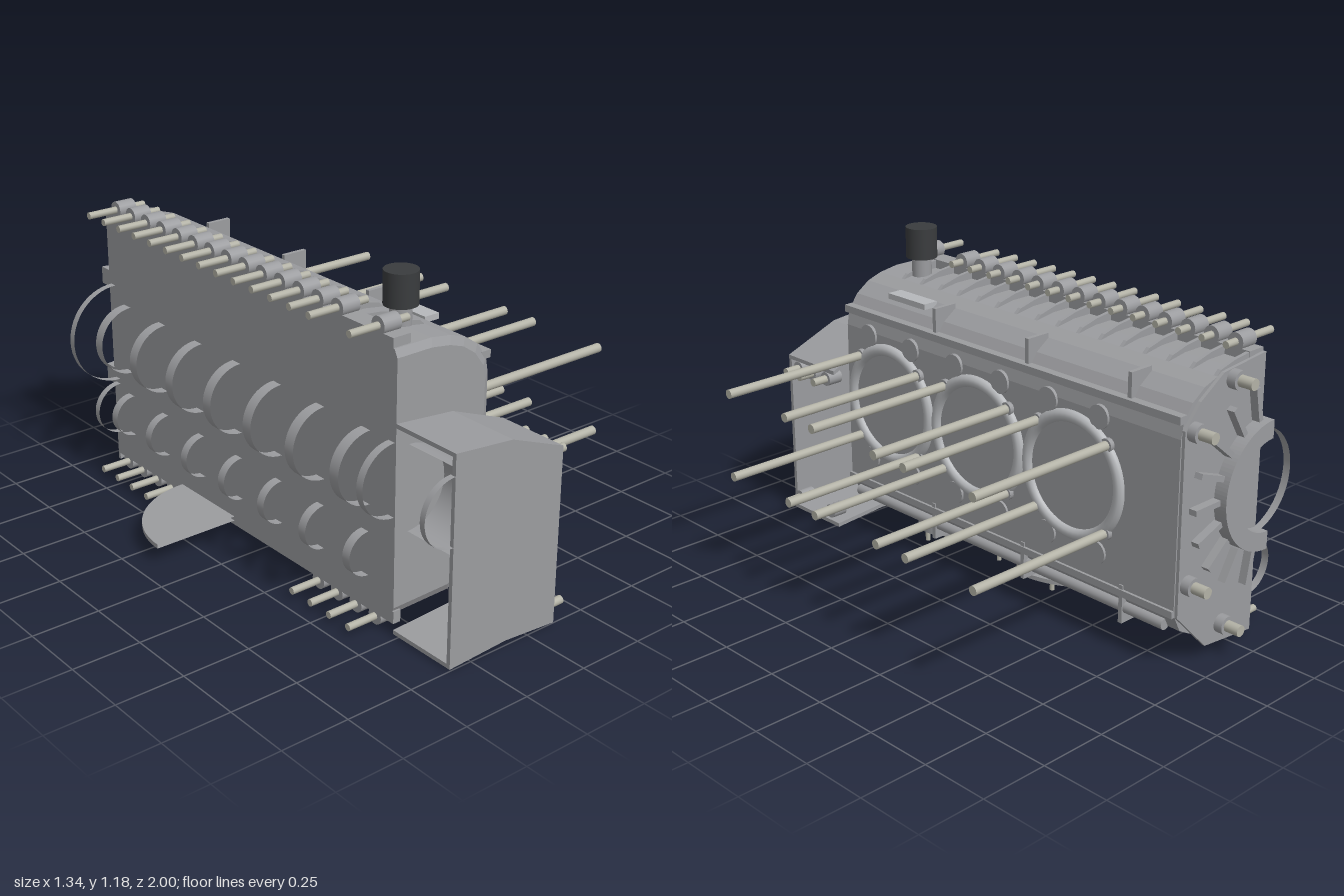
import * as THREE from 'three';

const GREY = 0x9b9c9f;
const grey = new THREE.MeshStandardMaterial({ color: GREY });
const flat = new THREE.MeshStandardMaterial({ color: GREY, flatShading: true });
const thin = new THREE.MeshStandardMaterial({ color: GREY, side: THREE.DoubleSide });
const light = new THREE.MeshStandardMaterial({ color: 0xb6b8bb });
const steel = new THREE.MeshStandardMaterial({ color: 0xb3b2a6 });
const black = new THREE.MeshStandardMaterial({ color: 0x3a3c3e });

const SPLIT = -0.34;   // parting plane
const CRANK_Y = 0.56;
const BORE_Y = 0.563;
const BORES = [0.475, 0.015, -0.445];

export function createModel() {
  const model = new THREE.Group();

  const add = (name, geometry, material = grey, x = 0, y = 0, z = 0) => {
    const mesh = new THREE.Mesh(geometry, material);
    mesh.name = name;
    mesh.position.set(x, y, z);
    model.add(mesh);
    return mesh;
  };
  const box = (name, x0, x1, y0, y1, z0, z1, material = grey) =>
    add(name, new THREE.BoxGeometry(x1 - x0, y1 - y0, z1 - z0), material,
      (x0 + x1) / 2, (y0 + y1) / 2, (z0 + z1) / 2);
  // Round bar along one axis, from a to b
  const bar = (name, axis, r, a, b, u, v, material = grey, sides = 20) => {
    const g = new THREE.CylinderGeometry(r, r, b - a, sides);
    const m = (a + b) / 2;
    if (axis === 'x') { g.rotateZ(Math.PI / 2); return add(name, g, material, m, u, v); }
    if (axis === 'z') { g.rotateX(Math.PI / 2); return add(name, g, material, u, v, m); }
    return add(name, g, material, u, m, v);
  };
  // Outline drawn along z, its front end optionally shrunk for a chamfer
  const prism = (name, points, z0, z1, frontScale = 1) => {
    const shape = new THREE.Shape(points.map(([x, y]) => new THREE.Vector2(x, y)));
    const g = new THREE.ExtrudeGeometry(shape, { depth: z1 - z0, bevelEnabled: false });
    const p = g.attributes.position;
    for (let i = 0; i < p.count; i++) {
      if (p.getZ(i) > 1e-4) {
        p.setX(i, SPLIT + (p.getX(i) - SPLIT) * frontScale);
        p.setY(i, 0.55 + (p.getY(i) - 0.55) * frontScale);
      }
    }
    g.computeVertexNormals();
    return add(name, g, flat, 0, 0, z0);
  };
  // Open half band standing out of the parting plane (side -1) or into it (+1)
  const halfBand = (name, r, z0, z1, y, side = -1) => {
    const g = new THREE.CylinderGeometry(r, r, z1 - z0, 28, 1, true, side < 0 ? Math.PI : 0, Math.PI);
    g.rotateX(Math.PI / 2);
    add(name, g, thin, SPLIT, y, (z0 + z1) / 2);
  };

  // Crankcase body with a chamfered front end and a rear plate
  const outline = [
    [SPLIT, 0.075], [-0.09, 0.08], [0.02, 0.14], [0.055, 0.21], [0.055, 0.82], [0.045, 0.875],
    [0.005, 0.93], [-0.05, 0.968], [-0.11, 0.988], [-0.19, 1.0], [SPLIT, 1.0],
  ];
  prism('crankcase', outline, -0.9, 0.716);
  prism('crankcaseFront', outline, 0.716, 0.73, 0.94);
  prism('rearPlate', [
    [SPLIT, 0.02], [-0.1, 0.045], [0.05, 0.2], [0.05, 0.85], [-0.02, 0.93], [-0.13, 1], [SPLIT, 1.02],
  ], -0.912, -0.9);

  // Parting flanges
  box('topFlange', SPLIT, -0.27, 0.99, 1.033, -0.9, 0.71);
  box('bottomFlange', SPLIT, -0.31, 0.045, 0.09, -0.9, 0.73);

  // Flange bolts and the ribs running over the shoulder between them
  for (let i = 0; i < 16; i++) {
    const z = 0.638 - i * 0.0986;
    const heights = [];
    if (i !== 1) heights.push(1.052);
    if (i < 4 || i > 11) heights.push(0.033);
    for (const y of heights) {
      bar('flangeLug', 'x', 0.031, SPLIT, -0.27, y, z);
      bar('flangeStud', 'x', 0.013, -0.455, -0.22, y, z, steel, 12);
    }
    prism('shoulderRib', [
      [-0.3, 0.98], [-0.09, 0.97], [-0.13, 1.005], [-0.2, 1.022], [-0.3, 1.033],
    ], z - 0.057, z - 0.043);
  }

  // Lengthwise ledges and oil rail on the cylinder side
  box('upperLedge', 0.02, 0.062, 0.87, 0.897, -0.9, 0.72);
  box('lowerLedge', 0.02, 0.065, 0.2, 0.225, -0.9, 0.72);
  bar('oilRail', 'z', 0.021, -0.85, 0.69, 0.035, 0.153);

  // Cross ribs between the cylinders
  for (const z of [0.245, -0.215, -0.675]) {
    box('lowerCrossRib', -0.02, 0.06, 0.1, 0.24, z - 0.008, z + 0.008);
    box('upperCrossRib', -0.05, 0.045, 0.88, 0.985, z - 0.008, z + 0.008);
  }

  // Cylinder seats with their pads and long studs
  for (const z of BORES) {
    add('boreRing', new THREE.TorusGeometry(0.209, 0.023, 12, 56).rotateY(Math.PI / 2), light, 0.053, BORE_Y, z);
    bar('boreFace', 'x', 0.2, 0.04, 0.058, BORE_Y, z, grey, 48);
    for (const dy of [-1, 1]) for (const dz of [-1, 1]) {
      bar('seatPad', 'x', 0.042, 0.03, 0.064, BORE_Y + dy * 0.242, z + dz * 0.115);
      bar('studBoss', 'x', 0.024, 0.04, 0.072, BORE_Y + dy * 0.157, z + dz * 0.158);
      bar('cylinderStud', 'x', 0.0165, 0.05, 0.665, BORE_Y + dy * 0.157, z + dz * 0.158, steel);
    }
  }

  // Crankshaft and camshaft bearing bands
  for (let i = 0; i < 7; i++) {
    const z = 0.585 - i * 0.23;
    halfBand('mainBearing', 0.13, z - 0.022, z + 0.022, CRANK_Y);
    halfBand('camBearing', 0.08, z - 0.018, z + 0.018, 0.25);
  }
  halfBand('frontMainBearing', 0.13, 0.695, 0.725, CRANK_Y);
  halfBand('rearMainBearing', 0.19, -0.9, -0.872, CRANK_Y);
  halfBand('rearCamBearing', 0.1, -0.9, -0.872, 0.25);

  // Rear seal housing, radial ribs and studs
  const seal = new THREE.Shape();
  seal.absarc(0, 0, 0.23, -Math.PI / 2, Math.PI / 2, false);
  seal.absarc(0, 0, 0.165, Math.PI / 2, -Math.PI / 2, true);
  add('rearSealHousing', new THREE.ExtrudeGeometry(seal, { depth: 0.055, bevelEnabled: false, curveSegments: 28 }),
    grey, SPLIT, CRANK_Y + 0.01, -0.962);
  for (let i = 0; i < 9; i++) {
    const a = (i - 4) * 0.345;
    const rib = add('rearRib', new THREE.BoxGeometry(0.12, 0.02, 0.035), grey,
      SPLIT + Math.cos(a) * 0.295, CRANK_Y + 0.01 + Math.sin(a) * 0.295, -0.925);
    rib.rotation.z = a;
  }
  for (const [x, y] of [[-0.175, 0.97], [0.01, 0.84], [0.01, 0.31], [-0.175, 0.105]]) {
    bar('rearBoss', 'z', 0.033, -0.945, -0.87, x, y);
    bar('rearStud', 'z', 0.02, -1, -0.9, x, y, steel);
  }

  // Filler neck and cap, and the small plate on the shoulder
  bar('fillerNeck', 'y', 0.037, 0.98, 1.08, -0.185, 0.565);
  bar('fillerCap', 'y', 0.058, 1.065, 1.18, -0.185, 0.565, black, 32);
  box('shoulderPlate', -0.045, 0.015, 0.953, 0.974, 0.33, 0.525, light);

  // Underside: round strainer cover, half sump plate and their pins
  bar('strainerCover', 'y', 0.115, 0.064, 0.108, -0.12, 0.36, grey, 36);
  for (let i = 0; i < 6; i++) {
    const a = i * Math.PI / 3 + 0.3;
    bar('strainerPin', 'y', 0.009, 0.015, 0.08, -0.12 + Math.cos(a) * 0.088, 0.36 + Math.sin(a) * 0.088, steel, 10);
  }
  const plate = new THREE.CylinderGeometry(0.33, 0.33, 0.016, 48, 1, false, Math.PI / 2, Math.PI);
  add('sumpPlate', plate, thin, SPLIT, 0.07, -0.14);
  for (let i = 0; i < 9; i++) {
    const a = i * Math.PI / 5 - 0.35;
    bar('sumpPin', 'y', 0.009, 0.015, 0.09, -0.17 + Math.cos(a) * 0.1, -0.14 + Math.sin(a) * 0.27, steel, 10);
  }

  // Front housing: end wall, folded roof and floor, open at both sides
  prism('housingFrontWall', [
    [SPLIT, 0.008], [-0.1, 0.02], [0.12, 0.004], [0.12, 0.645], [-0.105, 0.733], [SPLIT, 0.756],
  ], 0.985, 1);
  prism('housingRoof', [
    [SPLIT, 0.741], [-0.105, 0.718], [0.12, 0.63], [0.12, 0.645], [-0.105, 0.733], [SPLIT, 0.756],
  ], 0.73, 0.985);
  prism('housingFloor', [
    [SPLIT, 0.008], [-0.1, 0.02], [0.12, 0.004], [0.12, 0.019], [-0.1, 0.035], [SPLIT, 0.023],
  ], 0.73, 0.985);
  for (const [y, z] of [[0.602, 0.945], [0.602, 0.865], [0.602, 0.78], [0.055, 0.97], [0.055, 0.78]]) {
    bar('housingBoss', 'x', 0.027, 0.06, 0.12, y, z);
    bar('housingStud', 'x', 0.015, 0.08, 0.18, y, z, steel);
  }

  // Nose bearing inside the front housing
  halfBand('noseBearing', 0.15, 0.79, 0.985, CRANK_Y, 1);
  halfBand('noseBearingBand', 0.12, 0.978, 1, CRANK_Y);

  return model;
}
